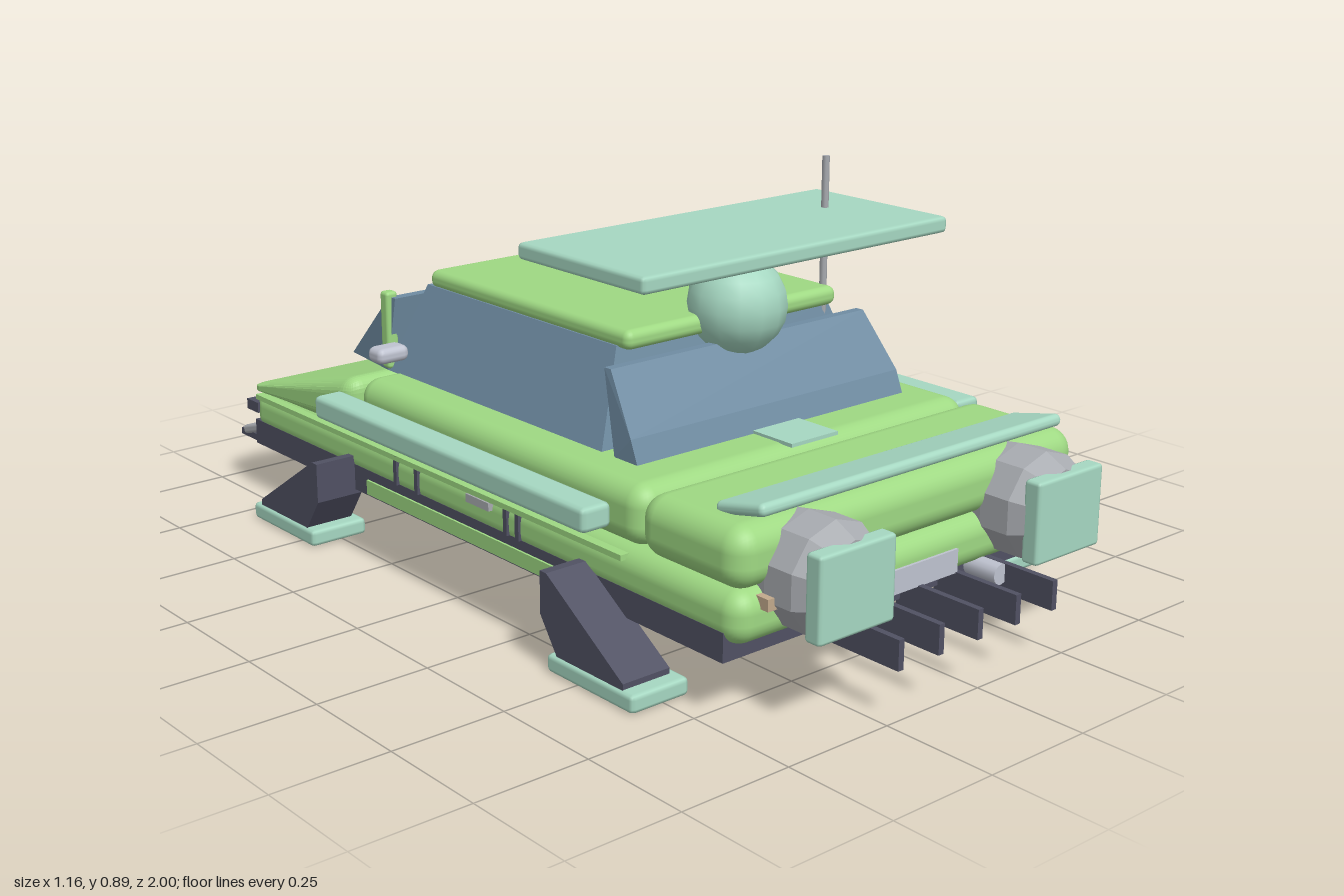
import * as THREE from 'three';
import { RoundedBoxGeometry } from 'three/addons/geometries/RoundedBoxGeometry.js';
import { ConvexGeometry } from 'three/addons/geometries/ConvexGeometry.js';

function material(name, color) {
  const m = new THREE.MeshStandardMaterial({ color });
  m.name = name;
  return m;
}

export function createModel() {
  const model = new THREE.Group();
  model.name = 'hoverCar';
  const green = material('bodyGreen', 0x9fd983);
  const mint = material('mint', 0xa6d8c2);
  const dark = material('darkTrim', 0x505163);
  const glass = material('glass', 0x708da3);
  const grey = material('metalGrey', 0xa9acb1);
  const pale = material('paleGrey', 0xbfc3d0);
  const tan = material('lampTan', 0xc2a98c);

  const add = (name, geometry, mat) => {
    const mesh = new THREE.Mesh(geometry, mat);
    mesh.name = name;
    model.add(mesh);
    return mesh;
  };
  // Boxes are given by their limits on each axis; r rounds the edges.
  const box = (name, mat, [x0, x1], [y0, y1], [z0, z1], r = 0, seg = 3) => {
    const size = [x1 - x0, y1 - y0, z1 - z0];
    const g = r ? new RoundedBoxGeometry(...size, seg, r) : new THREE.BoxGeometry(...size);
    g.translate((x0 + x1) / 2, (y0 + y1) / 2, (z0 + z1) / 2);
    return add(name, g, mat);
  };
  const pair = (name, mat, [x0, x1], y, z, r, seg) => {
    box(name + 'Left', mat, [x0, x1], y, z, r, seg);
    box(name + 'Right', mat, [-x1, -x0], y, z, r, seg);
  };
  // Convex solid mirrored across x from [x, y, z] corners.
  const hull = (name, mat, corners) => add(name, new ConvexGeometry(
    corners.flatMap(([x, y, z]) => [new THREE.Vector3(x, y, z), new THREE.Vector3(-x, y, z)])), mat);

  // Chassis and body
  box('underbody', dark, [-0.476, 0.476], [0.12, 0.18], [-0.86, 0.8]);
  pair('rockerPanel', green, [0.47, 0.481], [0.125, 0.158], [-0.37, 0.38]);
  box('lowerBody', green, [-0.478, 0.478], [0.15, 0.26], [-0.87, 0.84], 0.045, 4);
  pair('sideTrim', green, [0.46, 0.484], [0.236, 0.248], [-0.84, 0.52]);
  box('midBody', green, [-0.465, 0.465], [0.255, 0.382], [-0.425, 0.555], 0.045, 4);
  box('engineDeck', green, [-0.476, 0.476], [0.255, 0.382], [0.55, 0.84], 0.05, 4);

  // Nose: a rounded slab thinned towards its tip
  const nose = new RoundedBoxGeometry(0.96, 0.13, 0.44, 4, 0.04);
  const p = nose.attributes.position;
  for (let i = 0; i < p.count; i++) {
    const t = (0.22 - p.getZ(i)) / 0.44;
    p.setY(i, 0.25 + (p.getY(i) + 0.065) * (1 - 0.87 * t));
    p.setZ(i, p.getZ(i) - 0.65);
  }
  nose.computeVertexNormals();
  add('nose', nose, green);

  // Cabin
  hull('cabinGlass', glass, [
    [0.375, 0.38, 0.33], [0.375, 0.38, -0.43], [0.295, 0.575, 0.28], [0.295, 0.575, -0.38]]);
  hull('frontScreen', glass, [
    [0.375, 0.38, 0.44], [0.375, 0.43, 0.42], [0.355, 0.55, 0.335], [0.355, 0.55, 0.315], [0.375, 0.38, 0.37]]);
  hull('noseScreen', glass, [
    [0.355, 0.38, -0.605], [0.37, 0.55, -0.425], [0.37, 0.55, -0.4], [0.375, 0.38, -0.43]]);
  box('roof', green, [-0.295, 0.295], [0.568, 0.61], [-0.375, 0.315], 0.018, 3);
  pair('pillar', green, [0.352, 0.382], [0.385, 0.562], [-0.445, -0.415], 0.008, 2);
  pair('mirror', pale, [0.37, 0.45], [0.42, 0.456], [-0.4, -0.345], 0.015, 2);
  box('deckPlate', mint, [-0.065, 0.065], [0.38, 0.388], [0.38, 0.55]);

  // Roof equipment
  box('overheadPanel', mint, [-0.42, 0.42], [0.742, 0.778], [0.12, 0.51], 0.01, 1);
  add('sensorDome', new THREE.SphereGeometry(0.106, 14, 10), mint).position.set(0, 0.62, 0.315);
  add('antenna', new THREE.CylinderGeometry(0.008, 0.008, 0.5, 8), grey).position.set(0.285, 0.64, 0.28);

  // Side rails and rear-deck spoiler
  pair('sideRail', mint, [0.488, 0.56], [0.3, 0.352], [-0.45, 0.5], 0.012, 1);
  const spoiler = box('spoiler', mint, [-0.42, 0.42], [-0.013, 0.013], [-0.065, 0.065], 0.012, 2);
  spoiler.position.set(0, 0.397, 0.775);
  spoiler.rotation.x = -0.22;

  // Door seams and handles
  for (const z of [0.19, 0.15, -0.17, -0.25])
    pair('doorSeam', dark, [0.47, 0.484], [0.18, 0.246], [z - 0.006, z + 0.006]);
  pair('doorHandle', grey, [0.47, 0.488], [0.218, 0.236], [0.02, 0.1]);

  for (const s of [1, -1]) {
    // Thrusters
    const shell = new THREE.LatheGeometry([[0, 0.78], [0.108, 0.78], [0.115, 0.83], [0.115, 0.9], [0.09, 0.95], [0, 0.95]]
      .map(([r, z]) => new THREE.Vector2(r, z)), 10);
    shell.rotateX(Math.PI / 2);
    const thruster = add('thruster', shell.toNonIndexed(), grey);
    thruster.geometry.computeVertexNormals();
    thruster.position.set(s * 0.295, 0.27, 0);
    box('thrusterPlate', mint, [s * 0.298 - 0.098, s * 0.298 + 0.098], [0.182, 0.355], [0.925, 0.965], 0.008, 1);

    // Exhaust tips
    const exhaust = add('exhaust', new THREE.CylinderGeometry(0.022, 0.022, 0.1, 12), pale);
    exhaust.rotation.x = Math.PI / 2;
    exhaust.position.set(s * 0.2, 0.142, 0.83);

    // Landing legs and feet at both ends
    for (const [mirror, offset] of [[1, 0], [-1, -0.04]]) {
      const profile = [[0.635, 0.03], [0.635, 0.05], [0.405, 0.2], [0.385, 0.2], [0.385, 0.11], [0.44, 0.03]];
      const corners = profile.flatMap(([z, y]) => [0.46, 0.575].map(
        x => new THREE.Vector3(s * x, y, mirror * z + offset)));
      add('landingLeg', new ConvexGeometry(corners), dark);
      const zMid = mirror * 0.54 + offset * 0.8;
      const xMid = s * 0.511;
      box('landingFoot', mint, [xMid - 0.071, xMid + 0.071], [0, 0.038], [zMid - 0.13, zMid + 0.13], 0.01, 1);
    }
  }

  // Thruster-end fittings
  pair('markerLamp', tan, [0.36, 0.42], [0.224, 0.248], [0.82, 0.858]);
  box('blankPlate', pale, [-0.107, 0.107], [0.16, 0.21], [0.835, 0.846]);
  for (let i = -2; i <= 2; i++)
    box('diffuserFin', dark, [i * 0.109 - 0.007, i * 0.109 + 0.007], [0.1, 0.162], [0.79, 1]);

  // Nose-end fittings
  box('noseBand', dark, [-0.48, 0.48], [0.2, 0.225], [-0.89, -0.84]);
  pair('noseLamp', tan, [0.22, 0.41], [0.215, 0.25], [-0.897, -0.85]);
  box('nosePanel', dark, [-0.125, 0.125], [0.165, 0.235], [-0.905, -0.86]);
  box('noseLatch', green, [-0.035, 0.035], [0.225, 0.265], [-0.9, -0.85]);
  const bumper = box('bumper', grey, [-0.455, 0.455], [-0.011, 0.011], [-0.04, 0.04], 0.008, 2);
  bumper.position.set(0, 0.134, -0.925);
  bumper.rotation.x = -0.3;
  box('splitter', dark, [-0.438, 0.438], [0.1, 0.116], [-1, -0.845]);

  return model;
}
